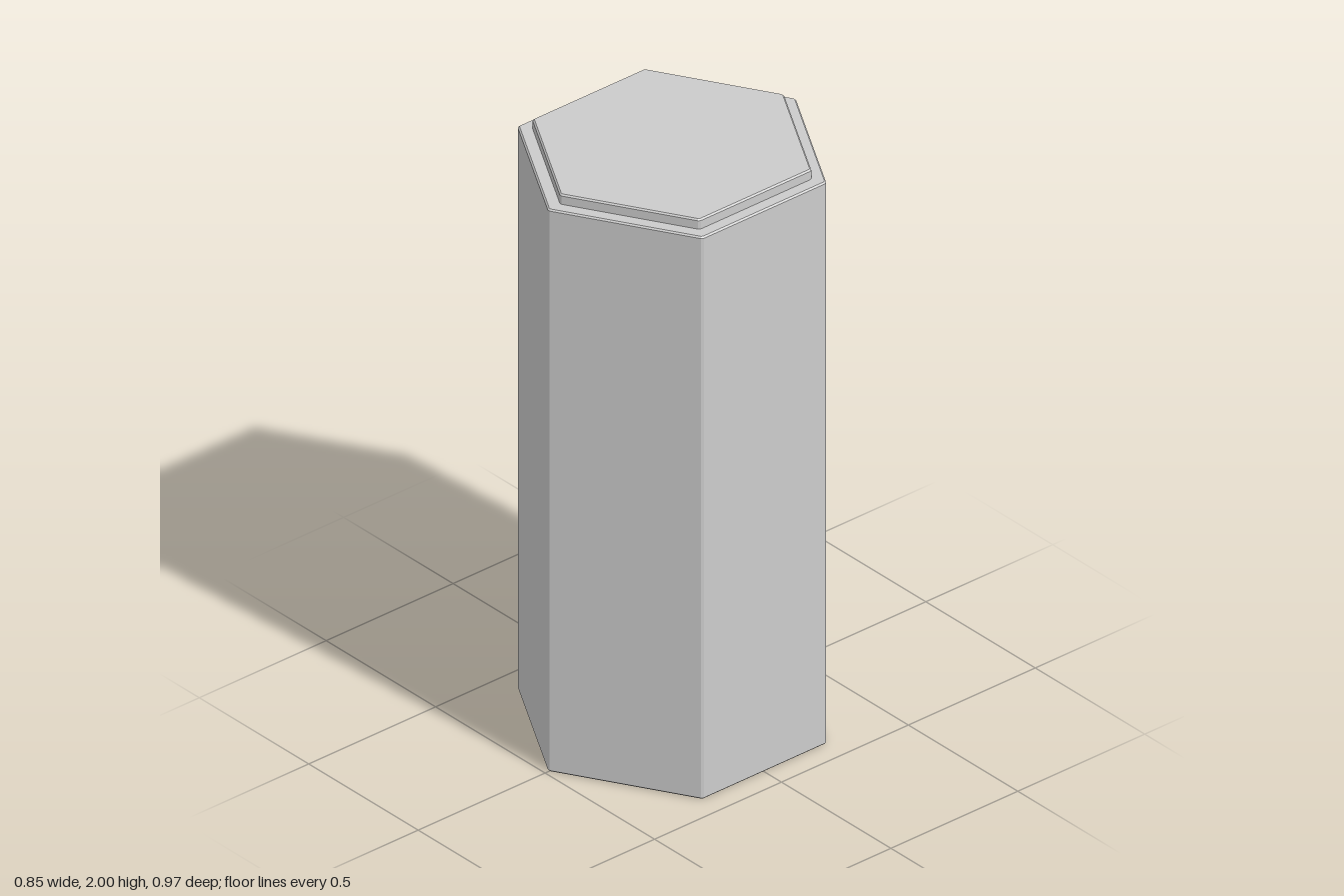
import * as THREE from 'three';

const material = new THREE.MeshStandardMaterial({ color: 0xcccccc, flatShading: true });

// Hexagon outline with a corner on the z axis and slightly clipped corners
function hexShape(radius, clip) {
  const corner = (i) => new THREE.Vector2(
    radius * Math.sin((i * Math.PI) / 3),
    radius * Math.cos((i * Math.PI) / 3)
  );
  const points = [];
  for (let i = 6; i > 0; i--) {
    for (const next of [i + 1, i - 1]) {
      points.push(corner(i).lerp(corner(next), clip / radius));
    }
  }
  return new THREE.Shape(points);
}

// Upright hexagonal prism with fine bevels along its rims
function hexPrism(name, radius, bottom, top, bevel) {
  const geometry = new THREE.ExtrudeGeometry(hexShape(radius, bevel), {
    depth: top - bottom - 2 * bevel,
    bevelEnabled: true,
    bevelThickness: bevel,
    bevelSize: bevel,
    bevelOffset: -bevel,
    bevelSegments: 1,
  });
  geometry.rotateX(-Math.PI / 2);
  geometry.translate(0, bottom + bevel, 0);
  const mesh = new THREE.Mesh(geometry, material);
  mesh.name = name;
  return mesh;
}

export function createModel() {
  const group = new THREE.Group();
  group.name = 'hexagonalColumn';
  group.add(hexPrism('columnBody', 0.488, 0, 1.966, 0.005));
  // Raised cap, its lower bevel sunk into the body
  group.add(hexPrism('topCap', 0.441, 1.955, 2, 0.005));
  return group;
}
